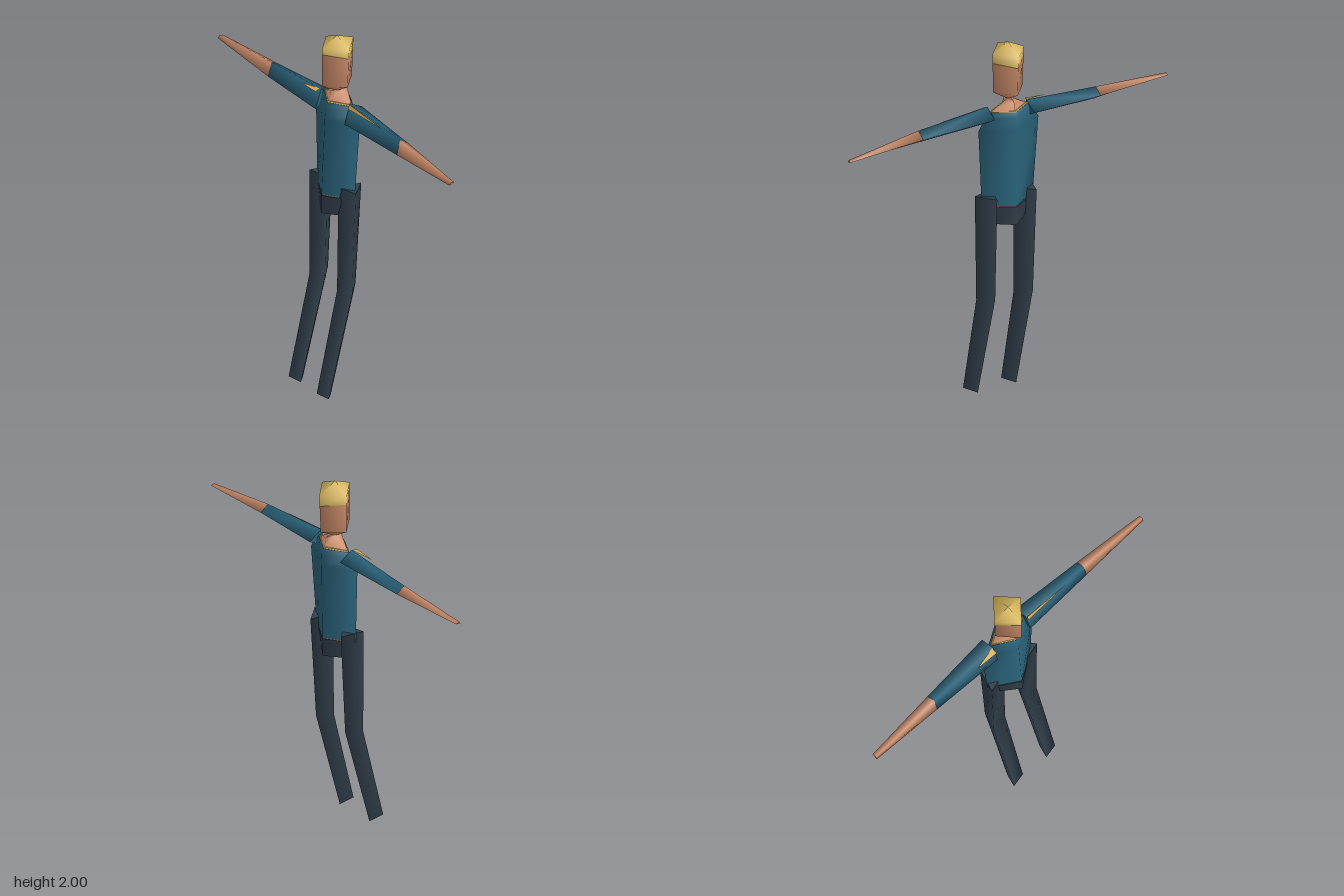
import * as THREE from 'three';

const mat = (name, color) => {
  const m = new THREE.MeshStandardMaterial({ color });
  m.name = name;
  return m;
};

// Skin a list of equal-sized rings of [x, y, z] points: smooth sides, flat end caps.
function loft(name, material, rings) {
  const n = rings[0].length, pos = [], idx = [];
  rings.forEach(r => r.forEach(p => pos.push(...p)));
  for (let i = 0; i < rings.length - 1; i++)
    for (let j = 0; j < n; j++) {
      const a = i * n + j, b = i * n + (j + 1) % n;
      idx.push(a, b, a + n, b, b + n, a + n);
    }
  [rings[0], rings[rings.length - 1]].forEach((r, end) => {
    const s = pos.length / 3;
    r.forEach(p => pos.push(...p));
    for (let j = 1; j < n - 1; j++)
      end ? idx.push(s, s + j, s + j + 1) : idx.push(s, s + j + 1, s + j);
  });
  // Turn the faces outward whichever way the rings run.
  const v = i => new THREE.Vector3().fromArray(pos, i * 3);
  let volume = 0;
  for (let i = 0; i < idx.length; i += 3)
    volume += v(idx[i]).dot(v(idx[i + 1]).cross(v(idx[i + 2])));
  if (volume < 0) idx.reverse();
  const g = new THREE.BufferGeometry();
  g.setAttribute('position', new THREE.Float32BufferAttribute(pos, 3));
  g.setIndex(idx);
  g.computeVertexNormals();
  const mesh = new THREE.Mesh(g, material);
  mesh.name = name;
  return mesh;
}

// Four-cornered body section: half width, front z, back z, with optional tilt.
const diamond = (y, w, front, back, yFront = y, yBack = y) => {
  const mid = (front + back) / 2;
  return [[w, y, mid], [0, yFront, front], [-w, y, mid], [0, yBack, back]];
};

// Three-cornered leg section inside a box.
const legRing = (y, x0, x1, front, back, drop = 0) => [
  [x0, y, front],
  [x1, y - drop * 0.22, front + (back - front) * 0.22],
  [x0 + (x1 - x0) * 0.3, y - drop, back],
];

// Three-cornered arm section: upper front, lower front and back edges.
const armRing = (x, lo, hi, front, back) => [
  [x, hi, front + (back - front) * 0.3],
  [x, lo, front],
  [x, lo + (hi - lo) * 0.6, back],
];

export function createModel() {
  const model = new THREE.Group();
  model.name = 'figure';
  const skin = mat('skin', 0xcb8c6a);
  const yellow = mat('blond', 0xd9b85f);
  const shirt = mat('shirt blue', 0x2b647c);
  const trousers = mat('trouser grey', 0x323f4b);
  const trim = mat('shoulder trim', 0xd9a850);
  trim.side = THREE.DoubleSide;

  // Head and hair
  const hairline = diamond(1.9, 0.091, 0.053, -0.149, 1.922, 1.89);
  model.add(
    loft('hair', yellow, [hairline, diamond(1.953, 0.094, 0.053, -0.152), diamond(2, 0.001, -0.045, -0.047)]),
    loft('head', skin, [diamond(1.68, 0.001, -0.045, -0.047), diamond(1.735, 0.086, 0.052, -0.142), hairline]),
    loft('neck', skin, [diamond(1.632, 0.11, 0.01, -0.118), diamond(1.69, 0.008, -0.008, -0.107)]),
  );

  // Torso and hips
  model.add(
    loft('shirtBody', shirt, [
      diamond(1.112, 0.15, 0.055, -0.132),
      diamond(1.54, 0.176, 0.034, -0.136),
      diamond(1.605, 0.14, 0.026, -0.135),
      diamond(1.632, 0.116, 0.015, -0.122),
    ]),
    loft('collar', trim, [diamond(1.632, 0.114, 0.014, -0.121), diamond(1.638, 0.109, 0.01, -0.118)]),
    loft('waist', skin, [diamond(1.106, 0.144, 0.052, -0.128), diamond(1.112, 0.144, 0.052, -0.128)]),
    loft('hips', trousers, [diamond(1.003, 0.125, 0.058, -0.128), diamond(1.106, 0.148, 0.057, -0.132)]),
  );

  // Legs, bent at the knee with the feet forward
  [['rightLeg', -0.16, -0.047, -0.152, -0.055, -0.146, -0.068],
    ['leftLeg', 0.073, 0.18, 0.07, 0.165, 0.08, 0.156]].forEach(([name, a0, a1, b0, b1, c0, c1]) =>
    model.add(loft(name, trousers, [
      legRing(1.165, a0, a1, 0.004, -0.118),
      legRing(0.57, b0, b1, 0.01, -0.086, -0.02),
      legRing(0.022, c0, c1, 0.15, 0.078, 0.022),
    ])));

  // Arms: sleeve to the elbow, then a bare tapered forearm
  const arms = {
    right: [armRing(-0.115, 1.535, 1.64, 0, -0.115), armRing(-0.52, 1.537, 1.614, -0.018, -0.09),
      armRing(-0.935, 1.572, 1.587, -0.026, -0.058)],
    left: [armRing(0.115, 1.548, 1.658, -0.003, -0.113), armRing(0.52, 1.547, 1.625, -0.015, -0.085),
      armRing(0.93, 1.547, 1.563, -0.028, -0.056)],
  };
  for (const [side, [shoulder, elbow, tip]] of Object.entries(arms))
    model.add(
      loft(side + 'Sleeve', shirt, [shoulder, elbow]),
      loft(side + 'Forearm', skin, [elbow, tip]),
    );

  // Thin wedges of trim along the shoulders
  const wedge = (name, pts) => {
    const g = new THREE.BufferGeometry();
    g.setAttribute('position', new THREE.Float32BufferAttribute(pts.flat(), 3));
    g.computeVertexNormals();
    const mesh = new THREE.Mesh(g, trim);
    mesh.name = name;
    model.add(mesh);
  };
  wedge('rightShoulderTrim', [[-0.12, 1.642, -0.036], [-0.12, 1.634, -0.002], [-0.25, 1.628, -0.01]]);
  wedge('leftShoulderTrim', [[0.12, 1.656, -0.03], [0.12, 1.634, -0.02], [0.4, 1.632, -0.028]]);

  return model;
}
